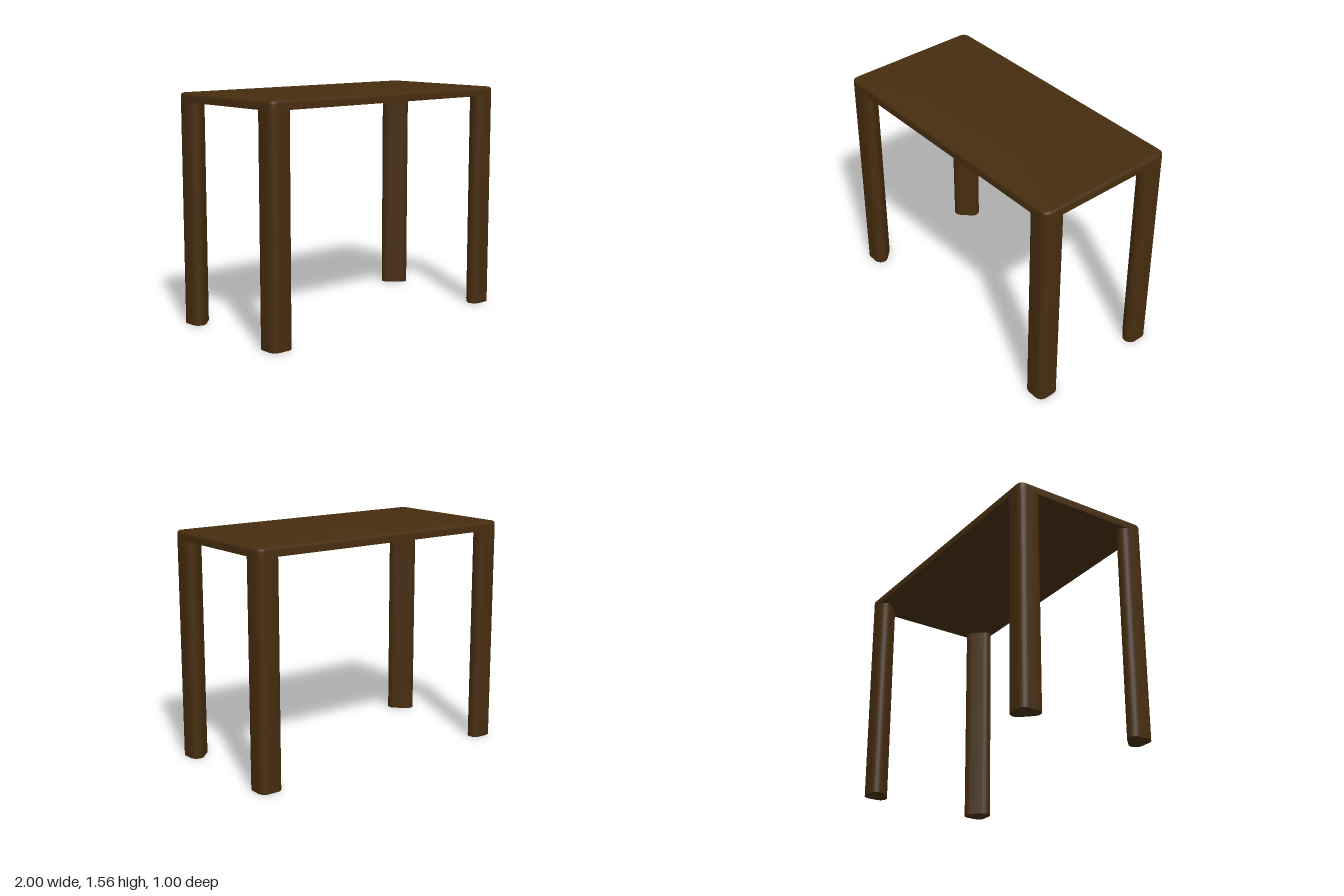
import * as THREE from 'three';
import { toCreasedNormals } from 'three/addons/utils/BufferGeometryUtils.js';

// Rounded convex outline: arcs of radius r around each corner centre [x, z]
function outline(centres, r, steps = 10) {
  const n = centres.length;
  const normalAngle = (a, b) => Math.atan2(-(b[0] - a[0]), b[1] - a[1]);
  const points = [];
  centres.forEach((c, i) => {
    const start = normalAngle(centres[(i + n - 1) % n], c);
    let end = normalAngle(c, centres[(i + 1) % n]);
    while (end < start) end += Math.PI * 2;
    for (let k = 0; k <= steps; k++) {
      const a = start + ((end - start) * k) / steps;
      points.push([c[0] + r * Math.cos(a), c[1] + r * Math.sin(a)]);
    }
  });
  return points;
}

// Solid through a stack of outlines, rings = [[y, radius], ...], closed by caps
function loft(centres, rings) {
  const positions = [], index = [];
  let count = 0;
  for (const [y, r] of rings) {
    const loop = outline(centres, r);
    count = loop.length;
    for (const [x, z] of loop) positions.push(x, y, z);
  }
  const last = (rings.length - 1) * count;
  const mid = [0, 1].map((k) => centres.reduce((s, c) => s + c[k], 0) / centres.length);
  const bottom = positions.length / 3, top = bottom + 1;
  positions.push(mid[0], rings[0][0], mid[1], mid[0], rings[rings.length - 1][0], mid[1]);
  for (let i = 0; i < count; i++) {
    const j = (i + 1) % count;
    for (let b = 0; b < last; b += count) {
      index.push(b + i, b + count + i, b + j, b + j, b + count + i, b + count + j);
    }
    index.push(bottom, i, j, top, last + j, last + i);
  }
  const geometry = new THREE.BufferGeometry();
  geometry.setAttribute('position', new THREE.Float32BufferAttribute(positions, 3));
  geometry.setIndex(index);
  return toCreasedNormals(geometry, 0.6);
}

export function createModel() {
  const group = new THREE.Group();
  group.name = 'table';
  const wood = new THREE.MeshStandardMaterial({ color: 0x462d0f });
  wood.name = 'dark wood';

  const add = (name, geometry) => {
    const mesh = new THREE.Mesh(geometry, wood);
    mesh.name = name;
    group.add(mesh);
  };

  const R = 0.05, X = 0.95, Z = 0.45;
  const legTop = 1.5, height = 1.56, edge = 0.02;

  // Tabletop: sharp underside, softly rounded upper edge
  const rings = [[legTop, R]];
  for (let k = 0; k <= 5; k++) {
    const a = (k / 5) * Math.PI / 2;
    rings.push([height - edge + edge * Math.sin(a), R - edge + edge * Math.cos(a)]);
  }
  rings.push([height, R - edge - 0.004]);
  add('tabletop', loft([[X, -Z], [X, Z], [-X, Z], [-X, -Z]], rings));

  // Legs: rounded triangular posts, flat side facing the middle
  const side = 0.065;
  for (const sx of [1, -1]) {
    for (const sz of [1, -1]) {
      const centres = [[X, Z - side], [X, Z], [X - side, Z]].map(([x, z]) => [x * sx, z * sz]);
      if (sx * sz < 0) centres.reverse();
      const name = (sz > 0 ? 'front' : 'back') + (sx > 0 ? 'Left' : 'Right') + 'Leg';
      add(name, loft(centres, [[0, R], [legTop, R]]));
    }
  }
  return group;
}
